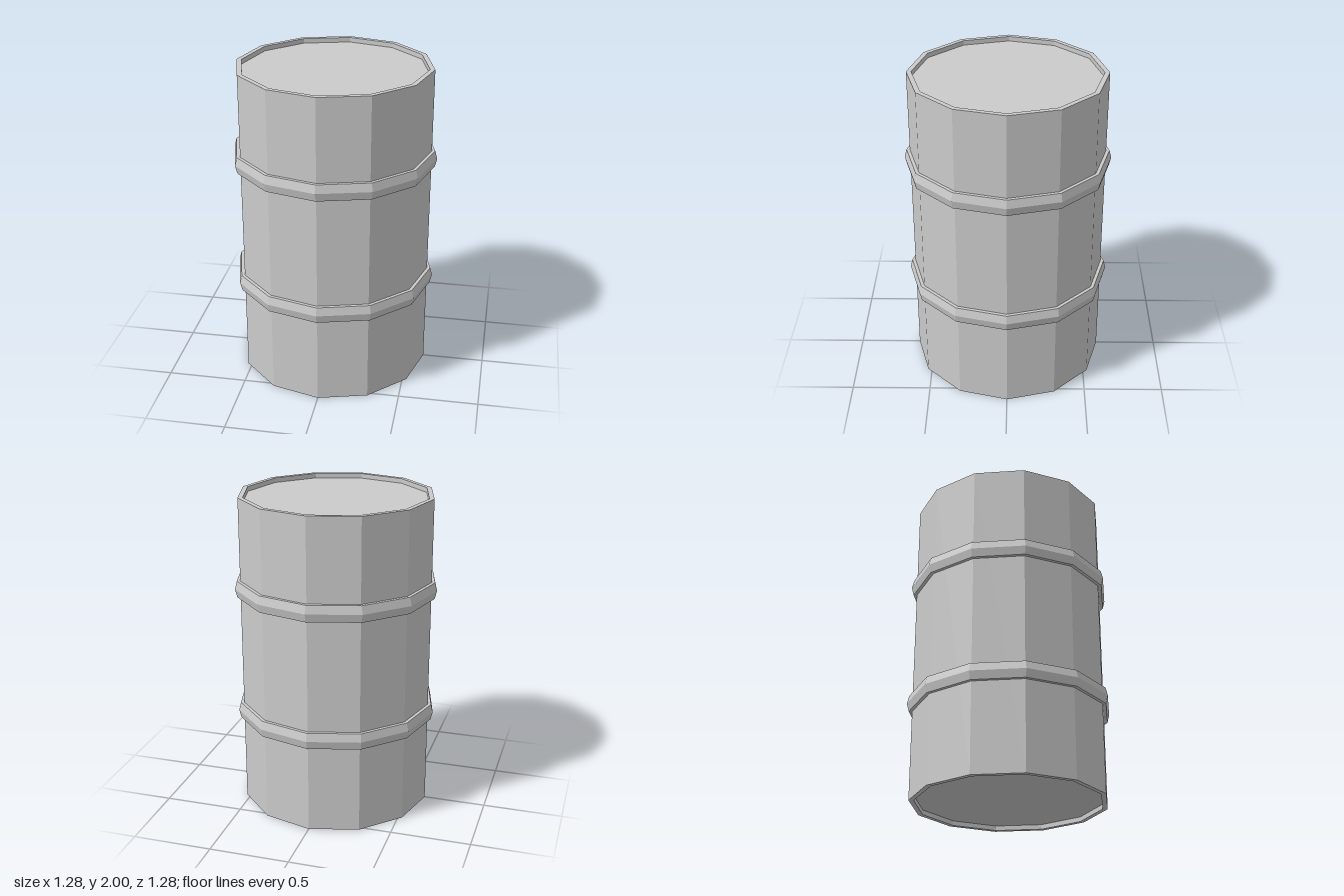
import * as THREE from 'three';

const SIDES = 12;
const RADIUS = 0.607;
const INNER = 0.576;
const RECESS = 0.03;
const HEIGHT = 2;

// Faceted solid of revolution; the profile runs bottom to top along the outside
function turned(name, profile, material) {
  const points = profile.map(([r, y]) => new THREE.Vector2(r, y));
  const mesh = new THREE.Mesh(new THREE.LatheGeometry(points, SIDES), material);
  mesh.name = name;
  return mesh;
}

export function createModel() {
  const group = new THREE.Group();
  group.name = 'barrel';
  const material = new THREE.MeshStandardMaterial({ color: 0xcccccc, flatShading: true });

  // Drum wall with a raised rim at each end
  group.add(turned('barrelWall', [
    [INNER, RECESS], [INNER, 0], [RADIUS, 0],
    [RADIUS, HEIGHT], [INNER, HEIGHT], [INNER, HEIGHT - RECESS],
  ], material));

  // Recessed end plates
  group.add(turned('bottomPlate', [[0, RECESS], [INNER, RECESS]], material));
  group.add(turned('lid', [[INNER, HEIGHT - RECESS], [0, HEIGHT - RECESS]], material));

  // Two ridged hoops
  for (const [name, y] of [['lowerHoop', 0.618], ['upperHoop', 1.43]]) {
    const hoop = turned(name, [
      [RADIUS, -0.052], [0.628, -0.052], [0.641, 0], [0.628, 0.052], [RADIUS, 0.052],
    ], material);
    hoop.position.y = y;
    group.add(hoop);
  }
  return group;
}
